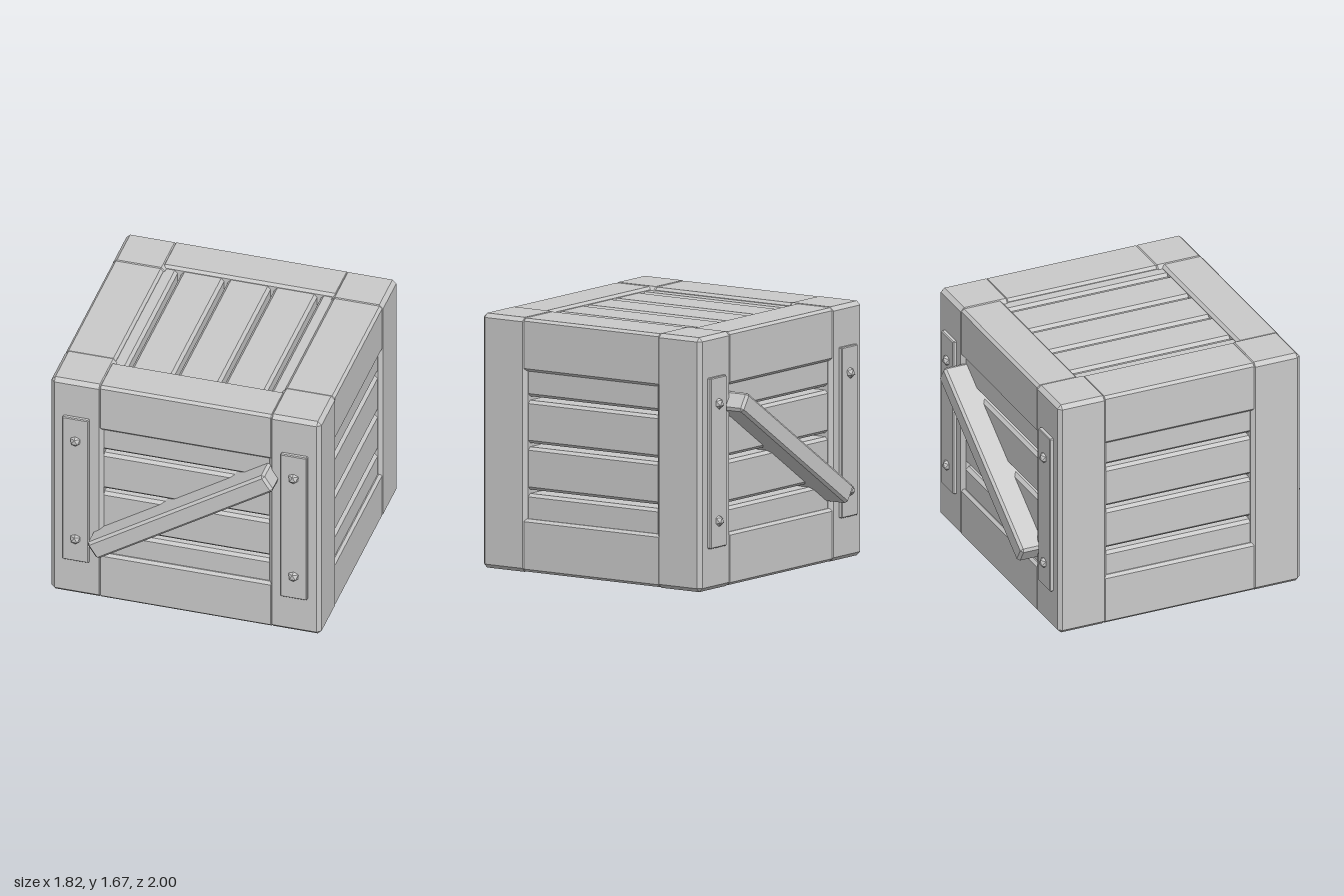
import * as THREE from 'three';
import { ConvexGeometry } from 'three/addons/geometries/ConvexGeometry.js';

const wood = new THREE.MeshStandardMaterial({ color: 0xcacaca });
wood.name = 'plain grey';

// Box with all twelve edges chamfered by b
function chamferBox(w, h, d, b) {
  const points = [];
  for (const x of [-1, 1]) for (const y of [-1, 1]) for (const z of [-1, 1]) {
    for (const flat of [0, 1, 2]) {
      const inset = [b, b, b];
      inset[flat] = 0;
      points.push(new THREE.Vector3(
        x * (w / 2 - inset[0]), y * (h / 2 - inset[1]), z * (d / 2 - inset[2])));
    }
  }
  return new ConvexGeometry(points);
}

export function createModel() {
  const crate = new THREE.Group();
  crate.name = 'crate';

  function add(name, geometry, x, y, z) {
    const mesh = new THREE.Mesh(geometry, wood);
    mesh.name = name;
    mesh.position.set(x, y, z);
    crate.add(mesh);
    return mesh;
  }

  const post = chamferBox(0.352, 1.67, 0.35, 0.026);
  const endRail = chamferBox(1.186, 0.347, 0.293, 0.018);
  const sideRail = chamferBox(0.338, 0.347, 1.098, 0.018);
  const endSlat = chamferBox(1.2, 0.28, 0.24, 0.02);
  const sideSlat = chamferBox(0.24, 0.28, 1.1, 0.02);
  const flatSlat = chamferBox(0.288, 0.24, 1.2, 0.02);
  const plate = chamferBox(0.18, 1.12, 0.06, 0.006);
  const brace = chamferBox(1.425, 0.134, 0.28, 0.017);
  // Bolt head with one face pointing forward
  const bolt = new THREE.IcosahedronGeometry(0.039, 0).rotateY(-0.365).rotateZ(Math.PI / 2);

  for (const s of [-1, 1]) {
    // Corner posts with bolted plates on the front and back
    for (const t of [-1, 1]) {
      add('cornerPost', post, s * 0.736, 0.835, t * 0.69);
      add('plate', plate, s * 0.737, 0.838, t * 0.86);
      for (const y of [0.453, 1.223]) {
        add('bolt', bolt, s * 0.737, y, t * 0.886).rotation.y = t > 0 ? 0 : Math.PI;
      }
    }

    // Upper and lower rails
    for (const y of [0.1775, 1.4935]) {
      add('endRail', endRail, 0, y, s * 0.7165);
      add('sideRail', sideRail, s * 0.739, y, 0);
    }

    // Slightly recessed wall slats
    for (let i = 0; i < 4; i++) {
      const y = 0.833 + (i - 1.5) * 0.306;
      add('endSlat', endSlat, 0, y, s * 0.718);
      add('sideSlat', sideSlat, s * 0.763, y, 0);
    }

    // Slightly recessed lid and floor slats
    for (let i = -2; i <= 2; i++) {
      add(s > 0 ? 'lidSlat' : 'floorSlat', flatSlat, i * 0.314, 0.835 + s * 0.69, 0);
    }

    // Diagonal braces on the front and back
    add('diagonalBrace', brace, 0, 0.8375, s * 0.86).rotation.z = 0.576;
  }

  return crate;
}
